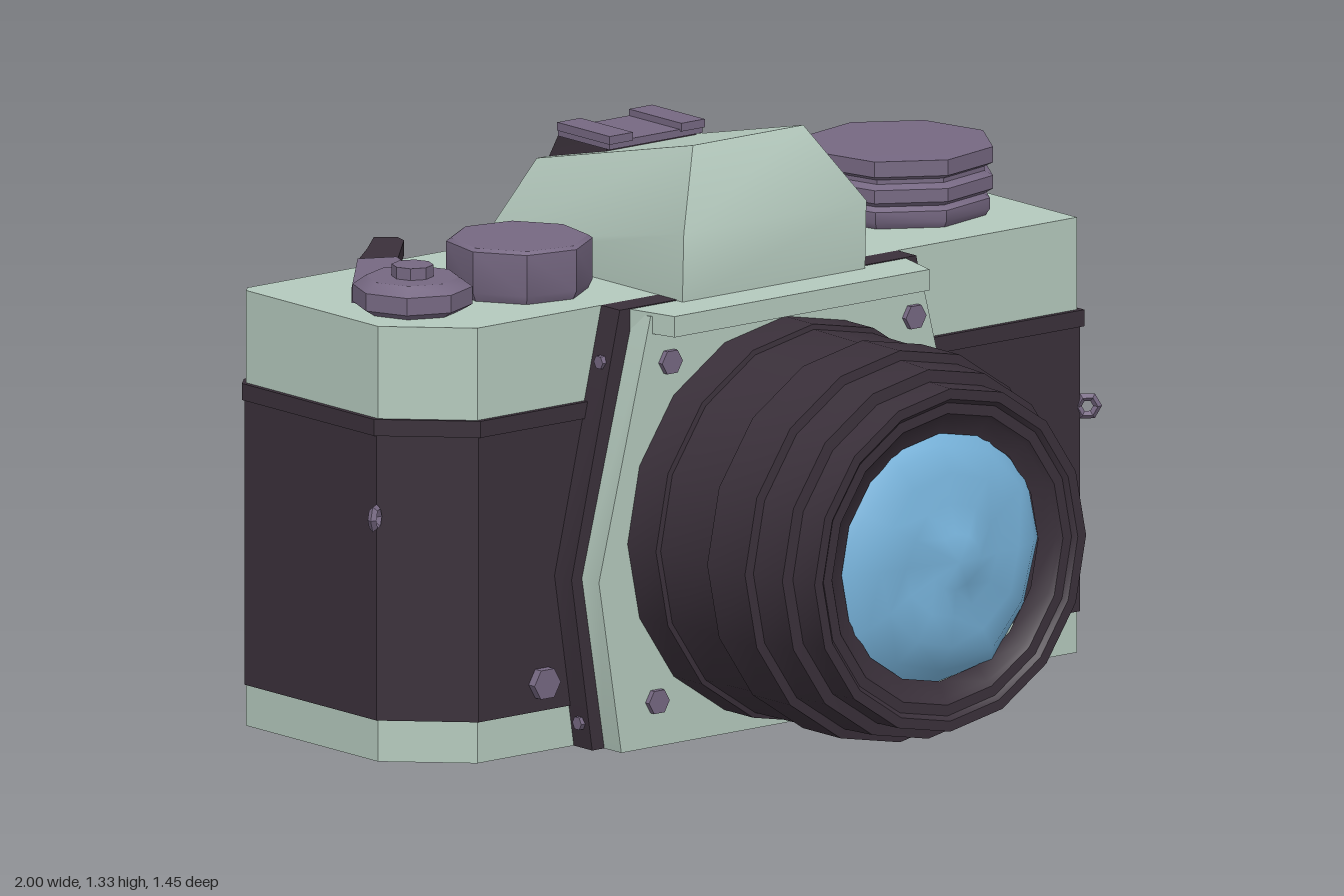
import * as THREE from 'three';
import { toCreasedNormals, mergeVertices } from 'three/addons/utils/BufferGeometryUtils.js';

const material = (name, color) => {
  const m = new THREE.MeshStandardMaterial({ color });
  m.name = name;
  return m;
};

export function createModel() {
  const green = material('pale green metal', 0xb4c9bd);
  const dark = material('dark leather', 0x3a303a);
  const purple = material('purple metal', 0x766882);
  const blue = material('blue glass', 0x78b4dc);
  const model = new THREE.Group();
  model.name = 'camera';

  const add = (name, geo, mat, x = 0, y = 0, z = 0) => {
    const mesh = new THREE.Mesh(toCreasedNormals(geo, 0.6), mat);
    mesh.name = name;
    mesh.position.set(x, y, z);
    model.add(mesh);
    return mesh;
  };
  const box = (name, mat, x0, x1, y0, y1, z0, z1) =>
    add(name, new THREE.BoxGeometry(x1 - x0, y1 - y0, z1 - z0), mat,
      (x0 + x1) / 2, (y0 + y1) / 2, (z0 + z1) / 2);
  const lathe = (pts, sides, turn = 0) =>
    new THREE.LatheGeometry(pts.map(([r, h]) => new THREE.Vector2(r, h)), sides, turn);
  const shape = (pts) => new THREE.Shape(pts.map(([a, b]) => new THREE.Vector2(a, b)));
  // Prism from a plan outline of [x, z] points
  const slab = (name, mat, pts, y0, y1) => {
    const geo = new THREE.ExtrudeGeometry(shape(pts.map(([x, z]) => [x, -z])),
      { depth: y1 - y0, bevelEnabled: false });
    return add(name, geo.rotateX(-Math.PI / 2), mat, 0, y0, 0);
  };
  // Prism from a front outline of [x, y] points
  const plate = (name, mat, pts, z0, z1) =>
    add(name, new THREE.ExtrudeGeometry(shape(pts), { depth: z1 - z0, bevelEnabled: false }), mat, 0, 0, z0);
  // Solid lofted through rings of four corners
  const loft = (rings) => {
    const index = [];
    for (let k = 0; k < rings.length - 1; k++) {
      for (let i = 0; i < 4; i++) {
        const a = k * 4 + i, b = k * 4 + (i + 1) % 4;
        index.push(a, b, b + 4, a, b + 4, a + 4);
      }
    }
    const t = (rings.length - 1) * 4;
    index.push(t, t + 1, t + 2, t, t + 2, t + 3, 0, 2, 1, 0, 3, 2);
    const geo = new THREE.BufferGeometry();
    geo.setAttribute('position', new THREE.Float32BufferAttribute(rings.flat(2), 3));
    geo.setIndex(index);
    return geo;
  };
  const ring = (x, zf, yf, zb, yb) => [[-x, yf, zf], [x, yf, zf], [x, yb, zb], [-x, yb, zb]];

  // Body layers, with one cut front corner
  const outline = (o) => [
    [-0.95 - o, -0.17], [-0.79, -0.015 + o], [0.95 + o, -0.015 + o], [0.95 + o, -0.635],
    [0.93, -0.655 - o], [-0.93, -0.655 - o], [-0.95 - o, -0.635]];
  slab('bottomPlate', green, outline(0), 0, 0.095);
  slab('leatherBody', dark, outline(0.005), 0.095, 0.75);
  slab('leatherTrim', dark, outline(0.012), 0.75, 0.788);
  slab('topCover', green, outline(0), 0.788, 1.0);

  // Lens mount plates
  const hexagon = (top, mid, bottom, h) =>
    [[-bottom, 0], [bottom, 0], [mid, 0.4], [top, h], [-top, h], [-mid, 0.4]];
  plate('mountBorder', dark, hexagon(0.43, 0.57, 0.51, 1.0), -0.016, 0.05);
  plate('mountPlate', green, hexagon(0.39, 0.54, 0.475, 0.99), 0.05, 0.11);
  slab('mountLip', green, [[-0.4, 0.05], [-0.37, 0.17], [0.37, 0.17], [0.4, 0.05]], 0.95, 0.998);

  // Lens barrel with stepped rings and recessed glass
  const lensY = 0.477;
  const barrel = lathe([
    [0, 0.1], [0.457, 0.11], [0.457, 0.21], [0.445, 0.212], [0.442, 0.38], [0.45, 0.382],
    [0.45, 0.515], [0.428, 0.518], [0.424, 0.615], [0.396, 0.618], [0.394, 0.692], [0.37, 0.692],
    [0.36, 0.682], [0.335, 0.682], [0.325, 0.67], [0.285, 0.655]], 16);
  add('lensBarrel', barrel.rotateX(Math.PI / 2), dark, 0, lensY, 0);

  // Rippled glass dome
  let dome = lathe([[0.295, 0.645], [0.26, 0.668], [0.2, 0.69], [0.13, 0.703], [0.065, 0.71], [0, 0.712]], 12)
    .rotateX(Math.PI / 2);
  const p = dome.attributes.position;
  for (let i = 0; i < p.count; i++) {
    const x = p.getX(i), y = p.getY(i);
    p.setZ(i, p.getZ(i) + 0.015 * Math.sin(19 * x + 9 * y + 1) * Math.cos(21 * y - 8 * x));
  }
  dome.deleteAttribute('normal');
  dome.deleteAttribute('uv');
  dome = mergeVertices(dome, 1e-4);
  dome.computeVertexNormals();
  const glass = new THREE.Mesh(dome, blue);
  glass.name = 'lensGlass';
  glass.position.y = lensY;
  model.add(glass);

  // Viewfinder hump
  add('prismHump', loft([
    ring(0.265, 0.07, 0.99, -0.635, 0.99),
    ring(0.265, 0.075, 1.155, -0.63, 1.02),
    ring(0.16, -0.02, 1.327, -0.57, 1.2)]), green);

  // Accessory shoe
  add('shoeBase', loft([
    ring(0.135, -0.36, 1.2, -0.565, 1.19),
    ring(0.13, -0.36, 1.257, -0.53, 1.257)]), dark);
  box('shoePlate', purple, -0.135, 0.135, 1.255, 1.272, -0.525, -0.345);
  for (const s of [-1, 1]) {
    const a = s * 0.07, b = s * 0.138;
    box('shoeRail', purple, Math.min(a, b), Math.max(a, b), 1.268, 1.287, -0.525, -0.34);
  }

  // Eyepiece
  box('eyepieceBase', dark, -0.13, 0.13, 0.835, 0.965, -0.69, -0.65);
  for (const y of [0.83, 0.965]) box('eyepieceFrame', dark, -0.145, 0.145, y - 0.015, y + 0.015, -0.71, -0.665);
  for (const x of [-0.122, 0.122]) box('eyepieceFrame', dark, x - 0.023, x + 0.023, 0.83, 0.965, -0.71, -0.665);
  box('eyepieceGlass', blue, -0.1, 0.1, 0.845, 0.95, -0.697, -0.689);

  // Top dials
  add('rewindKnob', lathe([
    [0.2, 0], [0.21, 0.015], [0.21, 0.04], [0.197, 0.05], [0.217, 0.062], [0.217, 0.092],
    [0.197, 0.102], [0.197, 0.112], [0.217, 0.122], [0.217, 0.158], [0, 0.161]], 8, 2.98),
  purple, 0.69, 1.0, -0.325);
  add('shutterDial', lathe([[0.155, 0], [0.165, 0.02], [0.165, 0.115], [0.155, 0.122], [0, 0.122]], 8, 0.2),
    purple, -0.47, 1.0, -0.255);

  // Film advance lever
  add('leverHub', lathe([
    [0.11, 0], [0.135, 0.015], [0.135, 0.055], [0.105, 0.076], [0.047, 0.076], [0.047, 0.103], [0, 0.103]], 8),
  purple, -0.78, 1.0, -0.255);
  slab('leverArm', purple, [[-0.87, -0.36], [-0.68, -0.57], [-0.6, -0.53], [-0.68, -0.33], [-0.78, -0.25]], 1.008, 1.045);
  slab('leverTip', dark, [[-0.69, -0.56], [-0.59, -0.645], [-0.505, -0.725], [-0.465, -0.69],
    [-0.475, -0.655], [-0.6, -0.525]], 1.008, 1.042);

  // Screws: [x, y, z, radius, axis]
  const screws = [
    [-0.337, 0.88, 0.112, 0.03, 'z'], [0.37, 0.88, 0.112, 0.03, 'z'],
    [-0.375, 0.105, 0.112, 0.03, 'z'], [0.405, 0.108, 0.112, 0.03, 'z'],
    [-0.607, 0.16, 0, 0.038, 'z'], [0.637, 0.16, 0, 0.038, 'z'],
    [-0.39, 0.85, -0.656, 0.03, 'z'], [0.39, 0.85, -0.656, 0.03, 'z'],
    [0.95, 0.815, -0.4, 0.022, 'x'],
    [0.457, 0.88, 0.02, 0.016, 'x'], [0.519, 0.06, 0.02, 0.016, 'x'],
    [-0.457, 0.88, 0.02, 0.016, 'x'], [-0.519, 0.06, 0.02, 0.016, 'x']];
  for (const [x, y, z, r, axis] of screws) {
    const geo = new THREE.CylinderGeometry(r, r, 0.022, 6, 1, false, Math.PI / 6).rotateX(Math.PI / 2);
    if (axis === 'x') geo.rotateY(Math.PI / 2);
    add('screw', geo, purple, x, y, z);
  }

  // Strap lugs
  for (const [x, z, turn] of [[-0.972, -0.155, 0.6], [0.972, -0.005, -0.6]]) {
    add('strapLug', new THREE.TorusGeometry(0.023, 0.01, 4, 6), purple, x, 0.565, z).rotation.y = turn;
  }
  return model;
}
